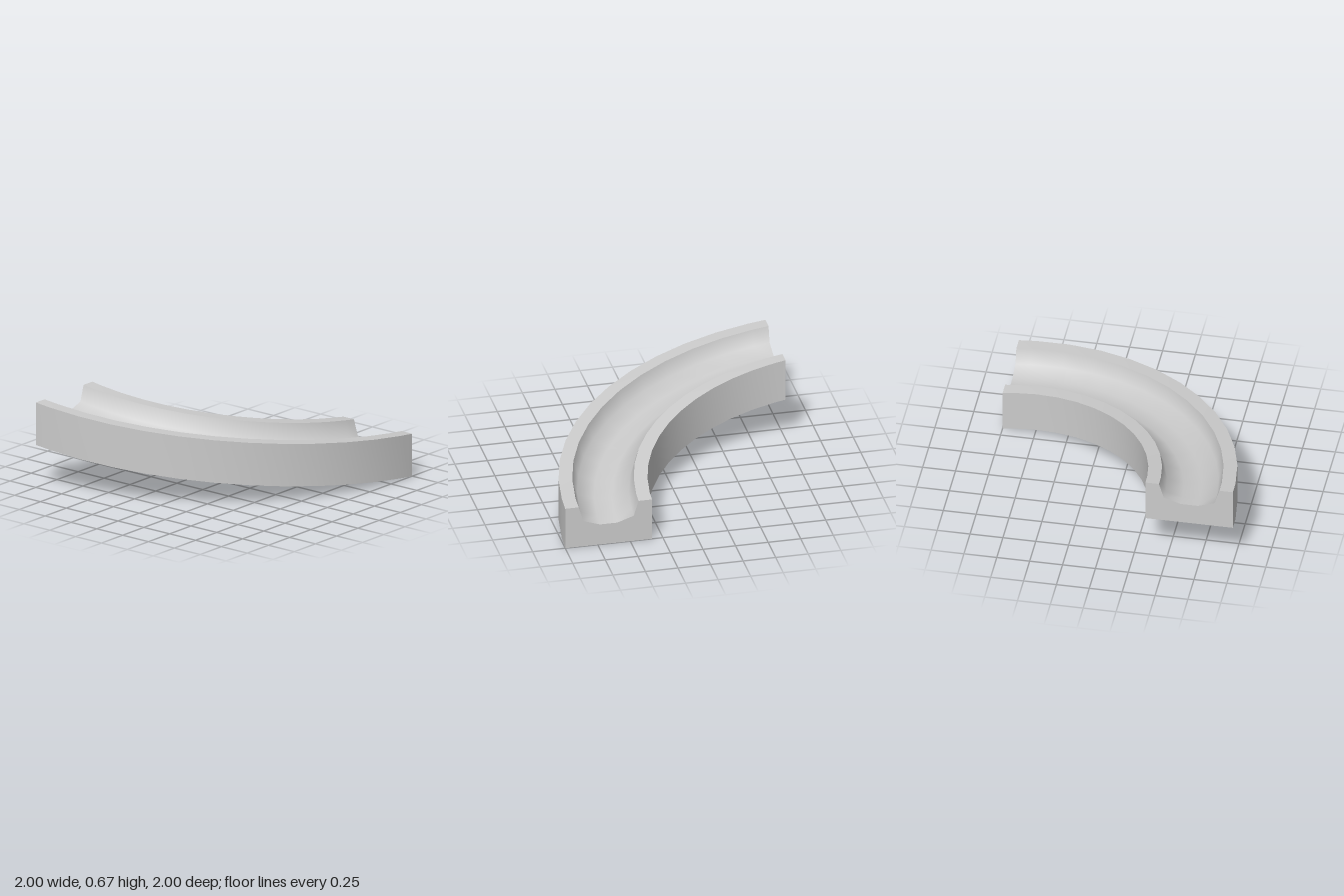
import * as THREE from 'three';
import { toCreasedNormals } from 'three/addons/utils/BufferGeometryUtils.js';

const RISE = 1 / 3; // height gained over the quarter turn
const MID = 5 / 3; // centre-line radius
const CENTRE = { x: 1, z: -1 }; // axis of the turn

// Cross-section as (radius, height), counter-clockwise, with a groove in the top
function crossSection() {
  const half = [[0.333, 0], [0.333, 0.333], [0.23, 0.333], [0.193, 0.212], [0.067, 0.169]];
  const outer = half.map(([d, y]) => new THREE.Vector2(MID + d, y));
  const inner = half.map(([d, y]) => new THREE.Vector2(MID - d, y)).reverse();
  return [...outer, ...inner];
}

// Sweep angles: a half step at each end, full 7.5 degree steps between
function sweepAngles() {
  const step = Math.PI / 24;
  const angles = [0];
  for (let i = 0; i < 12; i++) angles.push((i + 0.5) * step);
  angles.push(Math.PI / 2);
  return angles;
}

// Sweep the section around the turn while it climbs, then close both ends
function rampGeometry() {
  const section = crossSection();
  const angles = sweepAngles();
  const n = section.length;
  const positions = [];
  const index = [];

  for (const t of angles) {
    const lift = (RISE * t) / (Math.PI / 2);
    for (const p of section) {
      positions.push(CENTRE.x - p.x * Math.sin(t), p.y + lift, CENTRE.z + p.x * Math.cos(t));
    }
  }
  for (let k = 0; k < angles.length - 1; k++) {
    for (let i = 0; i < n; i++) {
      const j = (i + 1) % n;
      const a = k * n + i, b = k * n + j;
      index.push(a, b, b + n, a, b + n, a + n);
    }
  }
  const last = (angles.length - 1) * n;
  for (const [a, b, c] of THREE.ShapeUtils.triangulateShape(section, [])) {
    index.push(a, c, b); // low end
    index.push(last + a, last + b, last + c); // high end
  }

  const geometry = new THREE.BufferGeometry();
  geometry.setAttribute('position', new THREE.Float32BufferAttribute(positions, 3));
  geometry.setIndex(index);
  // smooth groove and walls, sharp rims and ends
  return toCreasedNormals(geometry, THREE.MathUtils.degToRad(62));
}

export function createModel() {
  const group = new THREE.Group();
  group.name = 'curvedTrackRamp';
  const material = new THREE.MeshStandardMaterial({ color: 0xcccccc });
  const ramp = new THREE.Mesh(rampGeometry(), material);
  ramp.name = 'groovedRamp';
  group.add(ramp);
  return group;
}
